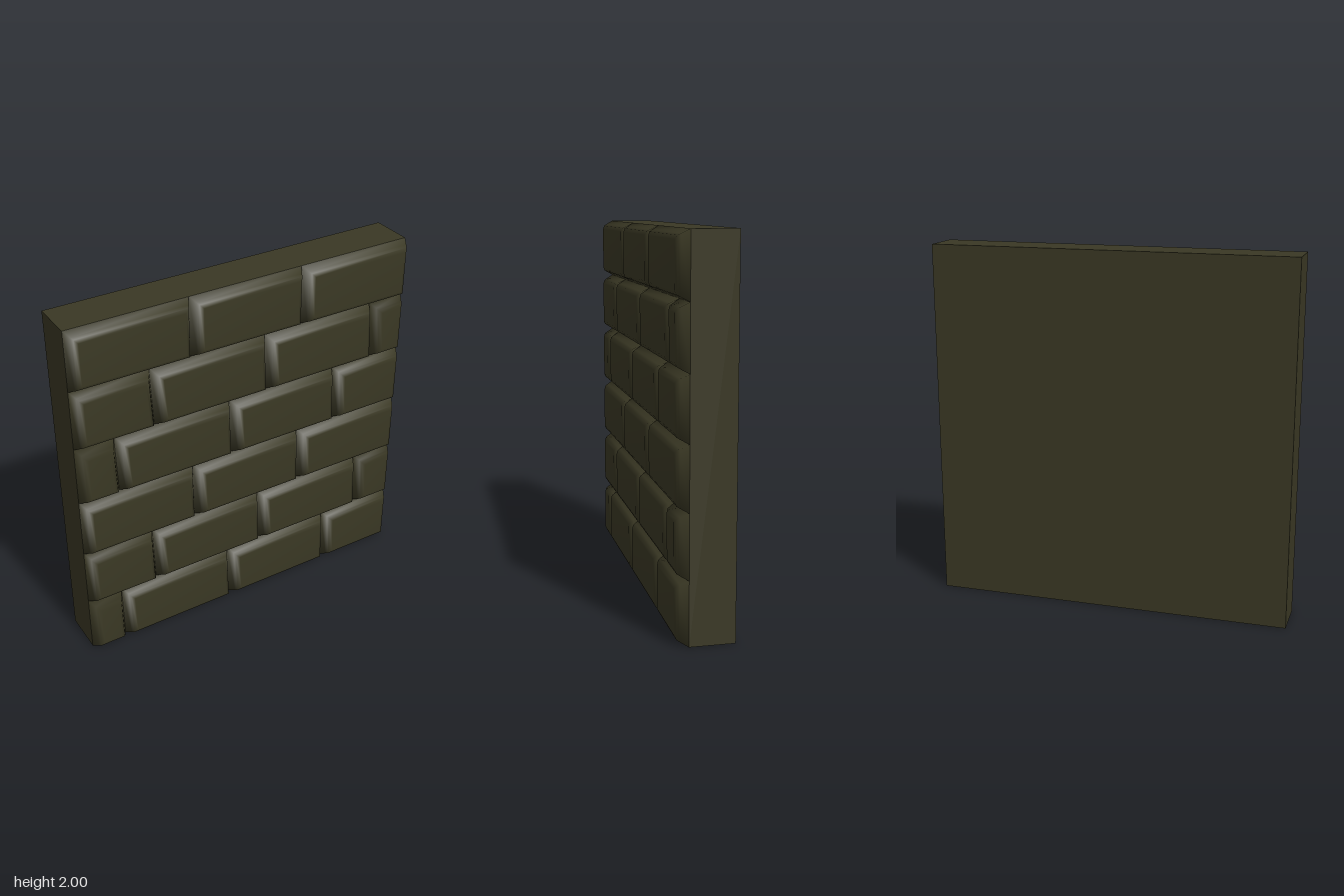
import * as THREE from 'three';

const WALL_Z = 0.085;
const ROW = 1 / 3;
// Brick edge profile: [inset from the joint, z]
const PROFILE = [[0, WALL_Z], [0.022, 0.126], [0.03, 0.14], [0.05, 0.15]];
// Joints per course from the bottom up: [x at bottom, x at top]
const COURSES = [
  [[-0.795, -0.8], [-0.115, -0.125], [0.535, 0.53]],
  [[-0.585, -0.595], [0.085, 0.075], [0.755, 0.745]],
  [[-0.33, -0.335], [0.335, 0.33]],
  [[-0.77, -0.78], [-0.095, -0.105], [0.565, 0.555]],
  [[-0.55, -0.565], [0.12, 0.11], [0.8, 0.785]],
  [[-0.33, -0.33], [0.33, 0.33]],
];

// Pillow-edged brick lofted through four-cornered rings, closed by a flat front
function brickGeometry(left, right, y0, y1) {
  const pos = [], index = [];
  for (const [d, z] of PROFILE) {
    pos.push(left[0] + d, y0 + d, z, right[0] - d, y0 + d, z,
      right[1] - d, y1 - d, z, left[1] + d, y1 - d, z);
  }
  for (let r = 0; r < PROFILE.length - 1; r++) {
    for (let i = 0; i < 4; i++) {
      const a = r * 4 + i, b = r * 4 + (i + 1) % 4;
      index.push(a, b, b + 4, a, b + 4, a + 4);
    }
  }
  const c = (PROFILE.length - 1) * 4;
  index.push(c, c + 1, c + 2, c, c + 2, c + 3);
  const geo = new THREE.BufferGeometry();
  geo.setAttribute('position', new THREE.Float32BufferAttribute(pos, 3));
  geo.setIndex(index);
  geo.computeVertexNormals();
  return geo;
}

export function createModel() {
  const group = new THREE.Group();
  group.name = 'brickWall';
  const stone = new THREE.MeshStandardMaterial({ color: 0x3a3824 });
  stone.name = 'dark olive stone';

  // Flat backing slab
  const slab = new THREE.Mesh(new THREE.BoxGeometry(2, 2, WALL_Z + 0.15), stone);
  slab.name = 'backingSlab';
  slab.position.set(0, 1, (WALL_Z - 0.15) / 2);
  group.add(slab);

  // Six staggered courses of bricks
  COURSES.forEach((joints, row) => {
    const course = new THREE.Group();
    course.name = `course${row + 1}`;
    const edges = [[-1, -1], ...joints, [1, 1]];
    for (let i = 0; i < edges.length - 1; i++) {
      const geo = brickGeometry(edges[i], edges[i + 1], row * ROW, (row + 1) * ROW);
      const brick = new THREE.Mesh(geo, stone);
      brick.name = 'brick';
      course.add(brick);
    }
    group.add(course);
  });
  return group;
}
